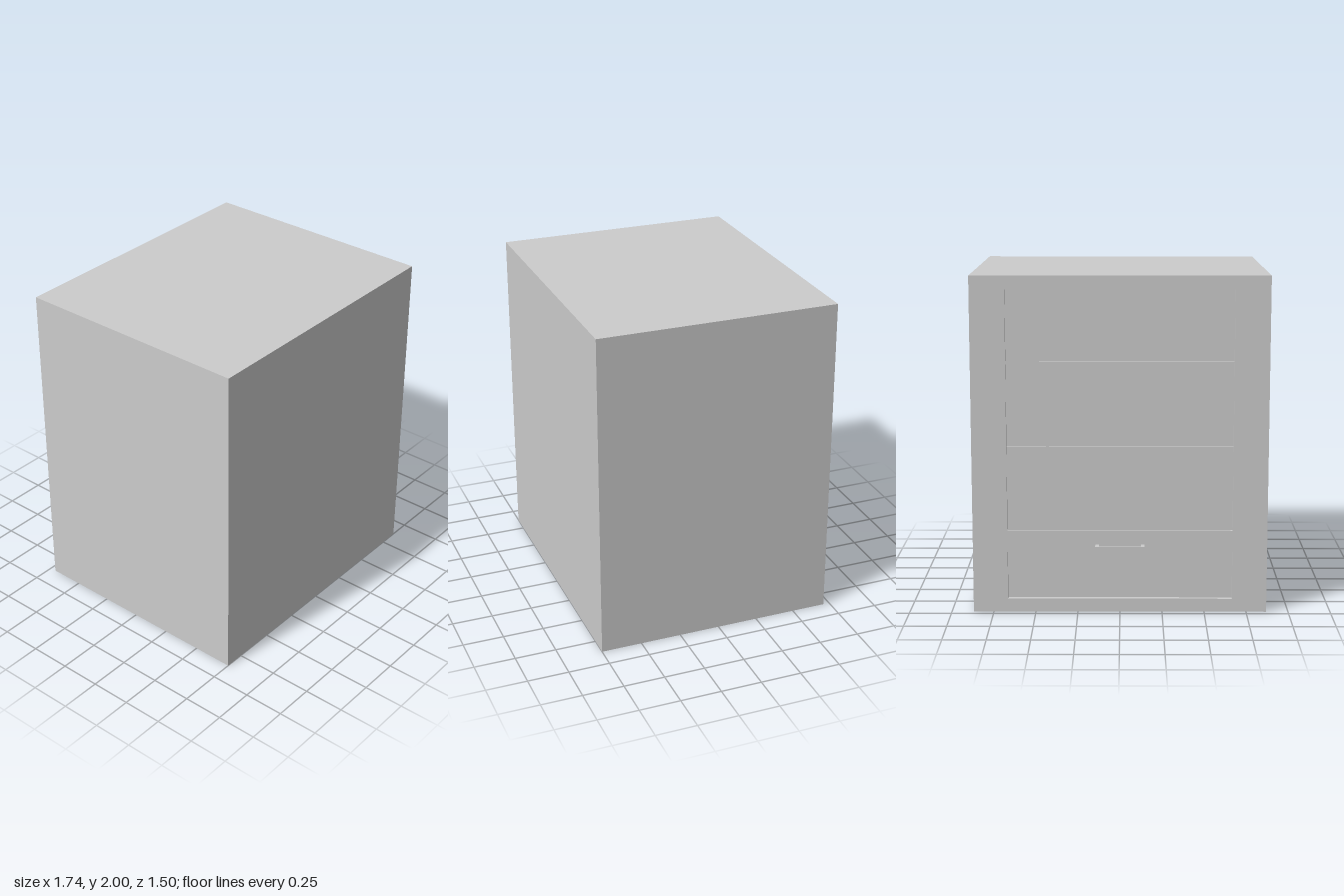
import * as THREE from 'three';

const W = 1.74, H = 2, FRONT = 0.75, BACK = -0.71;
const OPEN_X = 0.665, OPEN_Y0 = 0.08, OPEN_Y1 = 1.92;
const RECESS = -0.68, SLAT = -0.695;

export function createModel() {
  const group = new THREE.Group();
  group.name = 'cabinet';
  const material = new THREE.MeshStandardMaterial({ color: 0xcccccc });

  const add = (name, geometry, parent = group) => {
    const mesh = new THREE.Mesh(geometry, material);
    mesh.name = name;
    parent.add(mesh);
    return mesh;
  };
  // box given by its lower and upper limits
  const box = (name, [x0, y0, z0], [x1, y1, z1], parent) =>
    add(name, new THREE.BoxGeometry(x1 - x0, y1 - y0, z1 - z0), parent)
      .position.set((x0 + x1) / 2, (y0 + y1) / 2, (z0 + z1) / 2);
  const rect = (Type, x, y0, y1) => new Type([
    new THREE.Vector2(-x, y0), new THREE.Vector2(x, y0),
    new THREE.Vector2(x, y1), new THREE.Vector2(-x, y1)]);

  // solid body, its back face forming the recessed door strips
  box('body', [-W / 2, 0, RECESS], [W / 2, H, FRONT]);

  // frame around the door opening
  const frame = rect(THREE.Shape, W / 2, 0, H);
  frame.holes.push(rect(THREE.Path, OPEN_X, OPEN_Y0, OPEN_Y1));
  add('doorFrame', new THREE.ExtrudeGeometry(frame, { depth: RECESS - BACK, bevelEnabled: false }))
    .position.z = BACK;

  // raised door slats, alternating with the recessed strips
  const pitch = 0.2525;
  for (let i = 0; i < 4; i++) {
    const y0 = 1.755 - 2 * pitch * i;
    const y1 = Math.min(y0 + pitch, OPEN_Y1);
    box('doorSlat', [-OPEN_X, y0, SLAT], [OPEN_X, y1, RECESS]);
  }

  // pull handle: a flat bar on two legs
  const handle = new THREE.Group();
  handle.name = 'handle';
  group.add(handle);
  const hx = 0.146, y0 = 0.345, y1 = 0.407, z0 = -0.75, z1 = -0.738;
  box('handleBar', [-hx, y0, z0], [hx, y1, z1], handle);
  for (const s of [-1, 1]) {
    const a = s * hx, b = s * (hx - 0.023);
    box('handleLeg', [Math.min(a, b), y0, z1], [Math.max(a, b), y1, SLAT], handle);
  }
  return group;
}
